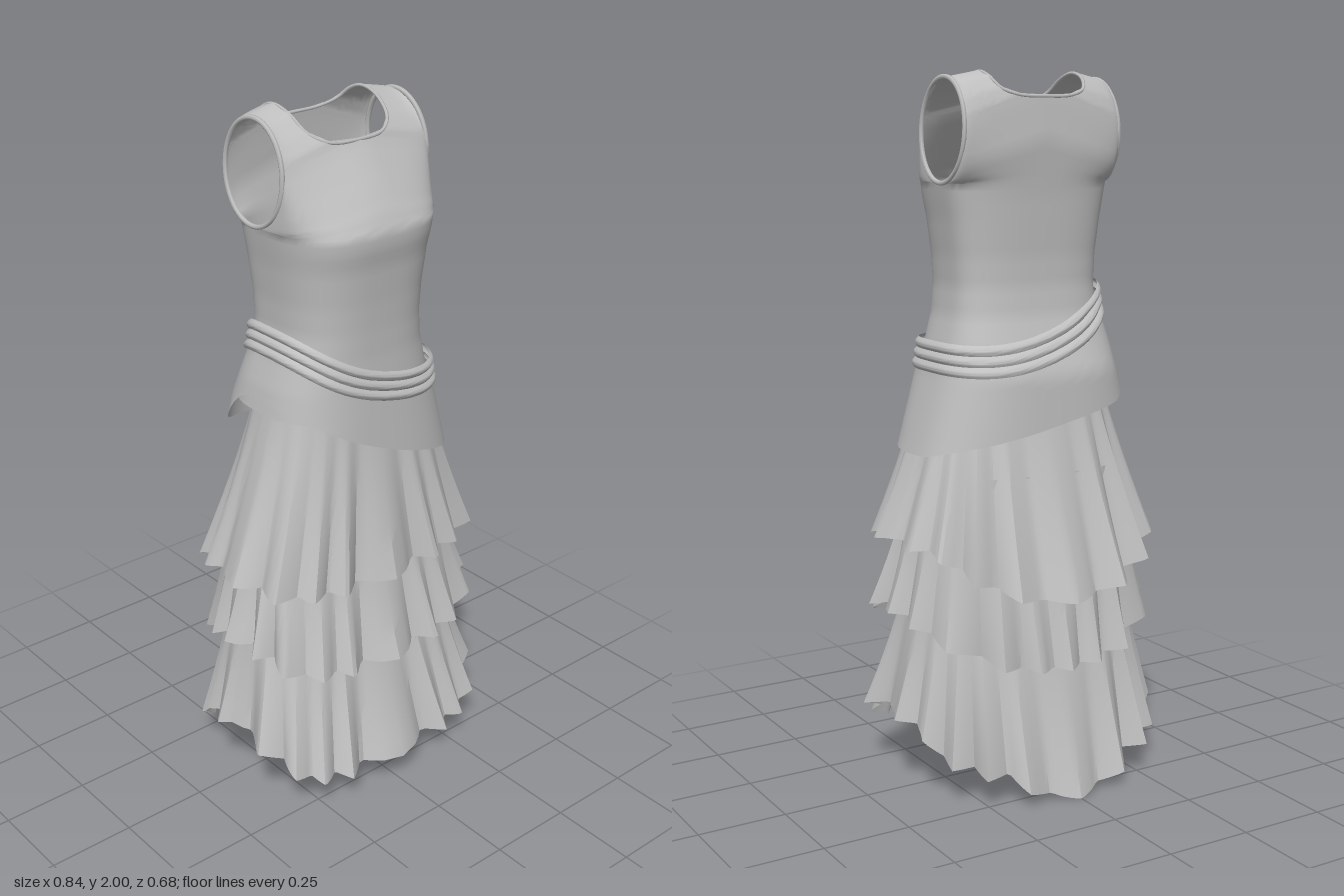
import * as THREE from 'three';
import { mergeGeometries, toCreasedNormals } from 'three/addons/utils/BufferGeometryUtils.js';

const cloth = new THREE.MeshStandardMaterial({ color: 0xbfbfbf, side: THREE.DoubleSide });
cloth.name = 'greyCloth';

const lerp = THREE.MathUtils.lerp;
const smooth = THREE.MathUtils.smoothstep;
const spow = (v, e) => Math.sign(v) * Math.pow(Math.abs(v), e);
const turn = (u) => (u * 2 - 1) * Math.PI;

// Surface from a rule: u runs towards +x across the front, v runs down it
function grid(rule, nu, nv) {
  const pos = [], idx = [];
  for (let j = 0; j <= nv; j++)
    for (let i = 0; i <= nu; i++) pos.push(...rule(i / nu, j / nv));
  for (let j = 0; j < nv; j++)
    for (let i = 0; i < nu; i++) {
      const a = j * (nu + 1) + i, b = a + nu + 1;
      idx.push(a, b, a + 1, a + 1, b, b + 1);
    }
  const g = new THREE.BufferGeometry();
  g.setAttribute('position', new THREE.Float32BufferAttribute(pos, 3));
  g.setIndex(idx);
  return g;
}

function part(name, geometry, crease) {
  const mesh = new THREE.Mesh(toCreasedNormals(geometry, crease), cloth);
  mesh.name = name;
  return mesh;
}

// Interpolate the rows of a table by their first column
function sample(table, k) {
  const up = table[0][0] < table[table.length - 1][0];
  let i = 0;
  while (i < table.length - 2 && (up ? k > table[i + 1][0] : k < table[i + 1][0])) i++;
  const [p, q] = [table[i], table[i + 1]];
  const t = THREE.MathUtils.clamp((k - p[0]) / (q[0] - p[0]), 0, 1);
  return p.slice(1).map((v, n) => lerp(v, q[n + 1], t));
}

// Squarish ring: half width a, front zf, back zb, widest at zs
function ring(th, a, zf, zb, zs, ef, eb) {
  const s = Math.sin(th), c = Math.cos(th), e = c > 0 ? ef : eb;
  return [a * spow(s, e), zs + ((c > 0 ? zf : zb) - zs) * Math.pow(Math.abs(c), e)];
}

// Heights, half widths, front and back of torso and hips
const torso = [
  [1.70, 0.252, 0.248, -0.135], [1.66, 0.246, 0.247, -0.131], [1.6, 0.236, 0.235, -0.127],
  [1.5, 0.224, 0.225, -0.12], [1.42, 0.22, 0.22, -0.12], [1.34, 0.228, 0.218, -0.13],
  [1.26, 0.25, 0.22, -0.155], [1.18, 0.265, 0.222, -0.175],
];
const hips = [
  [1.45, 0.225, 0.224, -0.125], [1.34, 0.242, 0.226, -0.135], [1.26, 0.265, 0.228, -0.165],
  [1.18, 0.28, 0.232, -0.2], [0.95, 0.345, 0.243, -0.21],
];
// Armhole angle (bottom, front, top, back) and the matching centre or neckline point
const yoke = [
  [0, 0, 1.70, 0.248], [25, 0, 1.745, 0.228], [50, 0, 1.80, 0.195], [100, 0, 1.915, 0.118],
  [108, 0.09, 1.92, 0.108], [125, 0.135, 1.945, 0.075], [150, 0.148, 1.985, 0.02],
  [180, 0.15, 2.0, -0.04], [210, 0.147, 1.985, -0.09], [235, 0.13, 1.955, -0.122],
  [255, 0.08, 1.938, -0.137], [262, 0, 1.935, -0.14], [310, 0, 1.82, -0.148],
  [360, 0, 1.70, -0.135],
];
const armhole = (deg) => {
  const r = THREE.MathUtils.degToRad(deg), c = Math.cos(r);
  return [0.246 + 0.006 * c, 1.841 - 0.141 * c, -0.008 + 0.12 * Math.sin(r)];
};

// Waist tube joined to two yoke halves that run from chest over shoulder to back
const torsoPower = 0.67;
function bodice() {
  const pieces = [grid((u, v) => {
    const y = lerp(1.70, 1.18, v);
    const [a, zf, zb] = sample(torso, y);
    const [x, z] = ring(turn(u), a, zf, zb, lerp(-0.008, 0.01, v), torsoPower, torsoPower);
    return [x, y, z];
  }, 64, 26)];
  const spans = yoke.length - 1;
  for (const side of [-1, 1]) {
    pieces.push(grid((u, v) => {
      const k = (1 - v) * spans, i = Math.min(Math.floor(k), spans - 1);
      const [deg, cx, cy, cz] = yoke[i].map((p, n) => lerp(p, yoke[i + 1][n], k - i));
      const [ax, ay, az] = armhole(deg);
      const w = (side > 0 ? u : 1 - u) * Math.PI / 2;
      const s = Math.pow(Math.sin(w), torsoPower);
      const c = Math.pow(Math.max(0, Math.cos(w)), torsoPower);
      return [side * lerp(cx, ax, s), lerp(cy, ay, s), lerp(az, cz, c)];
    }, 16, spans * 4));
  }
  return part('bodice', mergeGeometries(pieces), 0.9);
}

function trim(name, points, radius) {
  const curve = new THREE.CatmullRomCurve3(points, true);
  const mesh = new THREE.Mesh(new THREE.TubeGeometry(curve, 64, radius, 6, true), cloth);
  mesh.name = name;
  return mesh;
}

const beltY = (x) => 1.255 - 0.3 * x + 0.75 * x * x;

// Three soft rolls wrapped around the tilted waist
function belt() {
  return part('belt', grid((u, v) => {
    const th = turn(u), x0 = 0.26 * spow(Math.sin(th), 0.68);
    const y = beltY(x0) + 0.043 - 0.086 * v;
    const puff = 0.003 + 0.008 * Math.abs(Math.sin(3 * Math.PI * v));
    const [a, zf, zb] = sample(hips, y);
    const [x, z] = ring(th, a + puff, zf + puff, zb - puff, 0.01, 0.68, 0.68);
    return [x, y, z];
  }, 72, 18), 0.7);
}

// Smooth overskirt: diagonal hem in front, flatter hem behind
function peplum() {
  return part('peplum', grid((u, v) => {
    const th = turn(u), s = spow(Math.sin(th), 0.68), hx = 0.31 * s;
    const front = 1.07 - 0.42 * hx + 0.22 * hx * hx, back = 1.04 - 0.2 * hx;
    const hem = lerp(front, back, smooth(-Math.cos(th), 0.05, 0.8));
    const y = lerp(beltY(0.26 * s), hem, v);
    const [a, zf, zb] = sample(hips, y);
    const [x, z] = ring(th, a, zf, zb, 0.01, 0.68, 0.72);
    return [x, y, z];
  }, 72, 12), 0.9);
}

// Flared tier with folds that deepen towards an uneven hem; hem rows run back to front
function tier(name, { top, from, to, hem, folds, warp, square }) {
  return part(name, grid((u, v) => {
    const th = turn(u), s = Math.sin(th), c = Math.cos(th);
    const p = folds * th / (2 * Math.PI) + 0.3 * Math.sin(warp * th) + 0.2 * Math.sin(2 * th);
    const fold = 4 * Math.abs(p - Math.floor(p) - 0.5) - 1;
    const y = lerp(top, sample(hem, c)[0] + 0.005 * (1 - fold), v);
    const f = Math.pow(v, 1.3);
    const [a, zf, zb] = from.map((n, i) => lerp(n, to[i], f));
    const [x, z] = ring(th, a, zf, zb, 0.03, lerp(0.66, square, v), lerp(0.74, 0.95, v));
    const push = fold * Math.pow(v, 1.7) * (0.023 + 0.007 * Math.cos(5 * th));
    return [x + push * s, y, z + push * c];
  }, 192, 12), 0.5);
}

export function createModel() {
  const dress = new THREE.Group();
  dress.name = 'dress';
  dress.add(bodice(), belt(), peplum());

  // Bound edges of neckline and armholes
  const half = yoke.slice(3, 12).map(([, x, y, z]) => new THREE.Vector3(x, y - 0.004, z));
  const other = half.slice(1, -1).reverse().map((p) => new THREE.Vector3(-p.x, p.y, p.z));
  dress.add(trim('neckBinding', [...half, ...other], 0.005));
  for (const side of [-1, 1]) {
    const loop = Array.from({ length: 24 }, (_, i) => {
      const [x, y, z] = armhole(i * 15);
      return new THREE.Vector3(side * x, y, z);
    });
    dress.add(trim(side > 0 ? 'leftArmBinding' : 'rightArmBinding', loop, 0.007));
  }

  dress.add(
    tier('upperTier', {
      top: 1.3, from: [0.235, 0.19, -0.09], to: [0.4, 0.27, -0.3], folds: 18, warp: 3, square: 0.62,
      hem: [[-1, 0.56], [-0.8, 0.62], [-0.5, 0.7], [0, 0.72], [0.6, 0.7], [1, 0.68]],
    }),
    tier('middleTier', {
      top: 0.9, from: [0.31, 0.195, -0.18], to: [0.39, 0.29, -0.275], folds: 20, warp: 4, square: 0.6,
      hem: [[-1, 0.36], [-0.7, 0.42], [-0.3, 0.48], [0, 0.51], [0.3, 0.505], [0.7, 0.45], [1, 0.42]],
    }),
    tier('lowerTier', {
      top: 0.65, from: [0.315, 0.195, -0.18], to: [0.4, 0.315, -0.32], folds: 20, warp: 3, square: 0.54,
      hem: [[-1, 0], [-0.88, 0.075], [-0.5, 0.12], [-0.35, 0.19], [0, 0.215], [0.3, 0.2],
        [0.6, 0.145], [0.87, 0.1], [1, 0.09]],
    }),
  );
  return dress;
}
